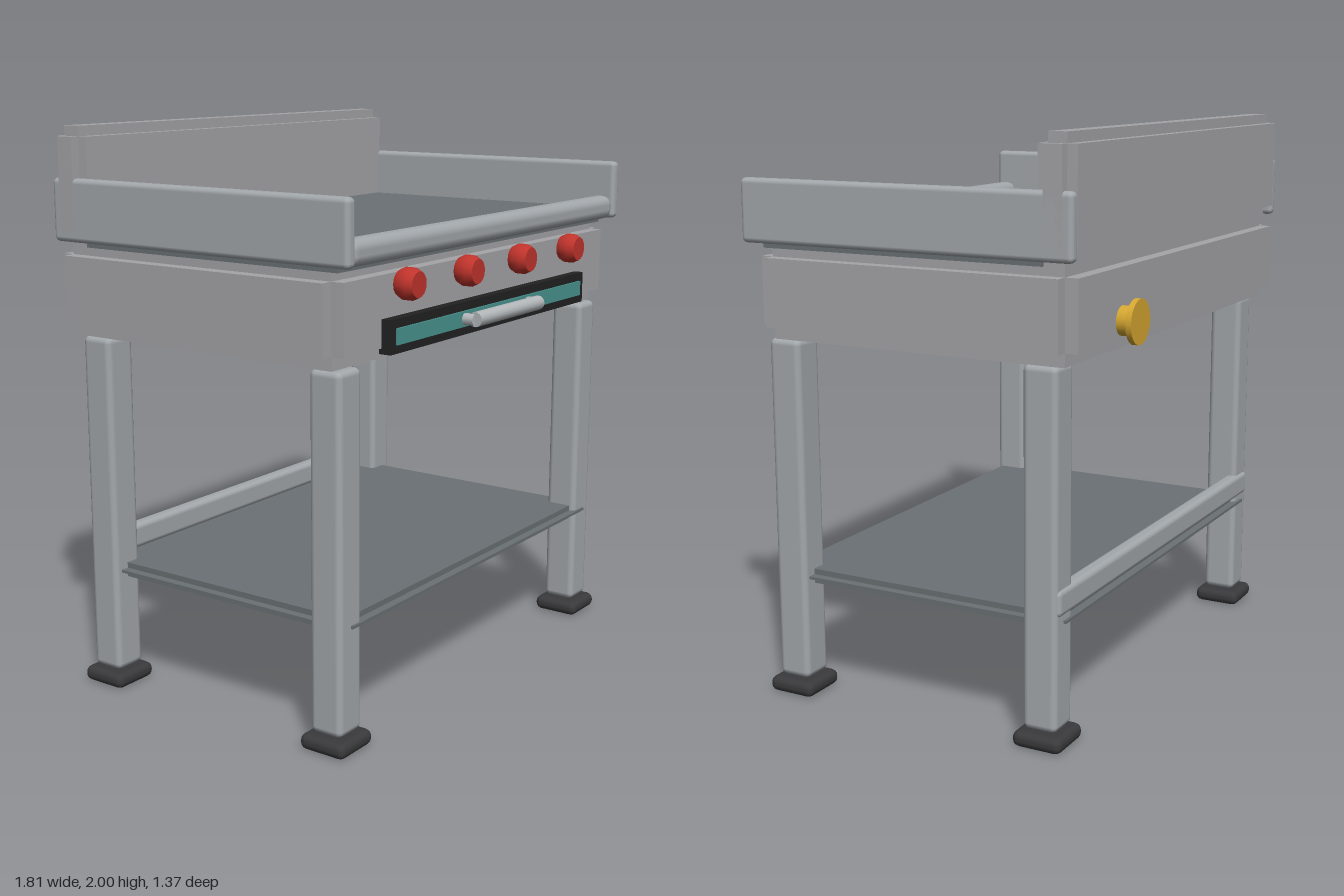
import * as THREE from 'three';
import { RoundedBoxGeometry } from 'three/addons/geometries/RoundedBoxGeometry.js';

const paint = (name, color) => {
  const m = new THREE.MeshStandardMaterial({ color });
  m.name = name;
  return m;
};

export function createModel() {
  const model = new THREE.Group();
  model.name = 'griddleTable';

  const sheetSteel = paint('sheetSteel', 0xa5a5a8);
  const steel = paint('satinSteel', 0xa3a8ac);
  const chrome = paint('handleSteel', 0xb4b8bb);
  const plate = paint('darkPlate', 0x6a7174);
  const black = paint('black', 0x222222);
  const rubber = paint('rubber', 0x3a3a3c);
  const red = paint('red', 0xc0342c);
  const teal = paint('tealGlass', 0x489490);
  const brass = paint('brass', 0xd6a832);

  const add = (name, geometry, material, x = 0, y = 0, z = 0, parent = model) => {
    const mesh = new THREE.Mesh(geometry, material);
    mesh.name = name;
    mesh.position.set(x, y, z);
    parent.add(mesh);
    return mesh;
  };

  // Boxes are given by their limits on each axis
  const box = (name, mat, [x0, x1], [y0, y1], [z0, z1], radius = 0, parent = model) => {
    const size = [x1 - x0, y1 - y0, z1 - z0];
    const geo = radius
      ? new RoundedBoxGeometry(...size, 2, radius)
      : new THREE.BoxGeometry(...size);
    return add(name, geo, mat, (x0 + x1) / 2, (y0 + y1) / 2, (z0 + z1) / 2, parent);
  };

  // Folded sheet-metal box: each pair of faces stands proud of its edges by b
  const steppedBox = (name, mat, xs, ys, zs, b) => {
    const group = new THREE.Group();
    group.name = name;
    model.add(group);
    const limits = [xs, ys, zs];
    ['Sides', 'TopAndBottom', 'FrontAndBack'].forEach((suffix, axis) => {
      const l = limits.map(([lo, hi], i) => (i === axis ? [lo, hi] : [lo + b, hi - b]));
      box(name + suffix, mat, ...l, 0, group);
    });
  };

  // Cabinet and splashback
  steppedBox('cabinet', sheetSteel, [-0.907, 0.907], [1.28, 1.607], [-0.62, 0.575], 0.046);
  steppedBox('splashback', sheetSteel, [-0.907, 0.907], [1.607, 2], [-0.62, -0.485], 0.035);

  // Cooking surface, grease slot, rolled front edge and side guards
  box('cookingPlate', plate, [-0.87, 0.87], [1.59, 1.648], [-0.5, 0.56]);
  box('greaseSlot', black, [-0.835, 0.835], [1.64, 1.654], [0.46, 0.55]);
  box('frontRoll', steel, [-0.875, 0.875], [1.605, 1.695], [0.535, 0.62], 0.036);
  for (const s of [-1, 1]) {
    const xs = [0.86 * s, 0.907 * s].sort((a, b) => a - b);
    box(s > 0 ? 'leftGuard' : 'rightGuard', steel, xs, [1.607, 1.825], [-0.62, 0.625], 0.018);
  }

  // Legs and feet
  for (const x of [-0.802, 0.798]) {
    for (const z of [-0.483, 0.5]) {
      add('leg', new RoundedBoxGeometry(0.124, 1.22, 0.124, 2, 0.022), steel, x, 0.67, z);
      add('foot', new RoundedBoxGeometry(0.18, 0.055, 0.18, 2, 0.025), rubber, x, 0.0275, z);
    }
  }

  // Lower shelf with a thin lip, and the rear rail
  box('shelf', plate, [-0.805, 0.805], [0.405, 0.457], [-0.525, 0.54]);
  box('shelfLip', plate, [-0.835, 0.835], [0.427, 0.437], [-0.525, 0.54]);
  box('shelfFrontLip', plate, [-0.805, 0.805], [0.427, 0.437], [-0.555, 0.57]);
  box('rearRail', steel, [-0.85, 0.85], [0.455, 0.548], [-0.555, -0.5], 0.02);

  // Control knobs
  const profile = [[0, 0], [0.043, 0], [0.043, 0], [0.054, 0.022], [0.054, 0.05],
    [0.043, 0.073], [0.043, 0.073], [0, 0.073]].map(([r, y]) => new THREE.Vector2(r, y));
  const knobGeo = new THREE.LatheGeometry(profile, 16);
  knobGeo.rotateX(Math.PI / 2);
  for (const x of [-0.548, -0.185, 0.178, 0.542]) add('knob', knobGeo, red, x, 1.523, 0.573);

  // Drip drawer front with glass strip and handle
  box('drawerFront', black, [-0.655, 0.65], [1.307, 1.42], [0.565, 0.61]);
  box('drawerGlass', teal, [-0.625, 0.62], [1.336, 1.39], [0.609, 0.617]);
  const bar = add('handleBar', new THREE.CylinderGeometry(0.026, 0.026, 0.436, 16), chrome, -0.003, 1.365, 0.658);
  bar.rotation.z = Math.PI / 2;
  for (const x of [-0.218, 0.212]) {
    const post = add('handlePost', new THREE.CylinderGeometry(0.021, 0.021, 0.05, 10), chrome, x, 1.363, 0.632);
    post.rotation.x = Math.PI / 2;
  }

  // Gas inlet at the back
  const pipe = add('gasPipe', new THREE.CylinderGeometry(0.05, 0.05, 0.07, 20), brass, 0.542, 1.386, -0.635);
  const flange = add('gasFlange', new THREE.CylinderGeometry(0.076, 0.076, 0.02, 20), brass, 0.542, 1.386, -0.675);
  pipe.rotation.x = flange.rotation.x = Math.PI / 2;

  return model;
}
